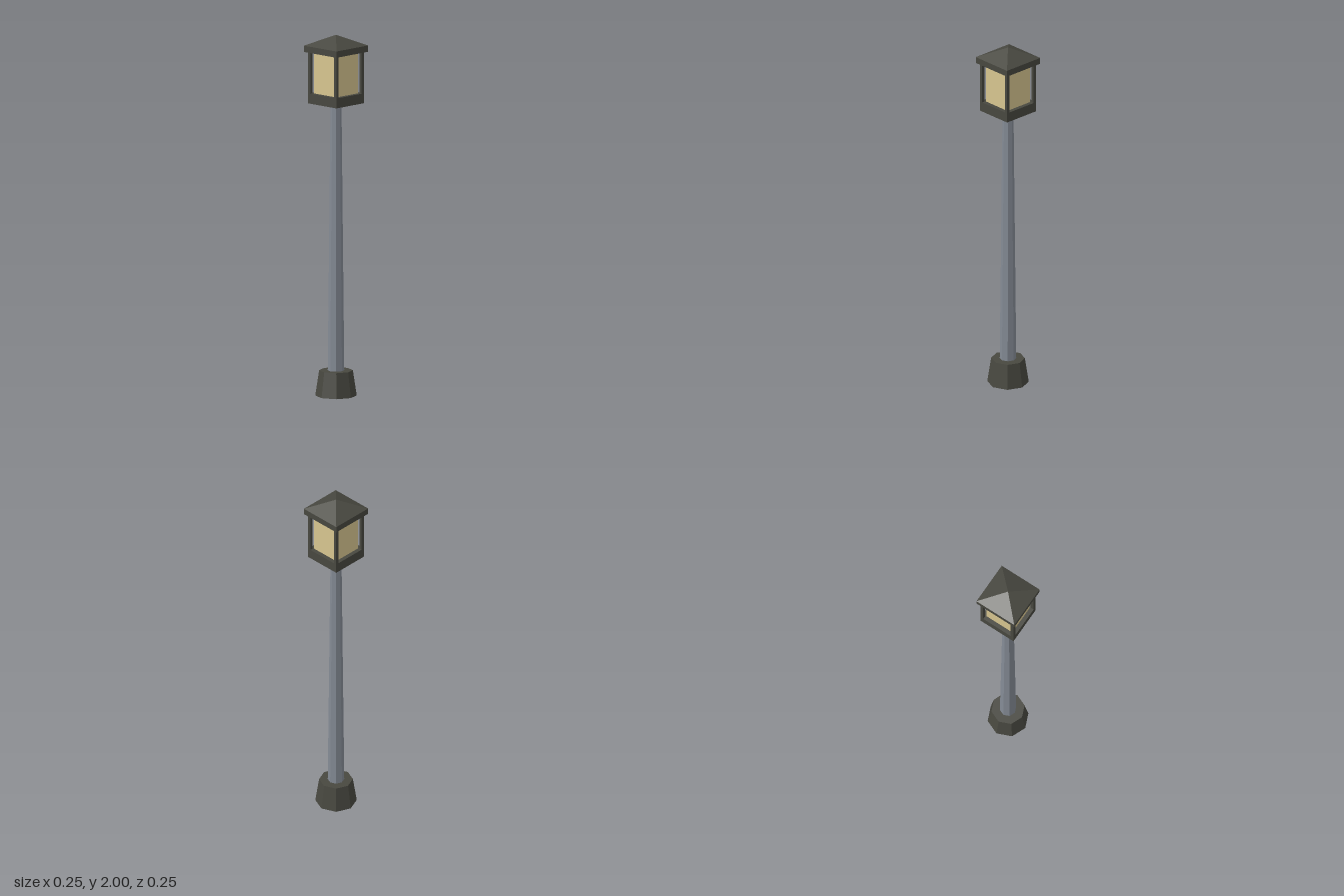
import * as THREE from 'three';

export function createModel() {
  const group = new THREE.Group();
  group.name = 'lampPost';

  const material = (name, color) => {
    const m = new THREE.MeshStandardMaterial({ color, flatShading: true });
    m.name = name;
    return m;
  };
  const iron = material('dark iron', 0x484840);
  const steel = material('grey steel', 0x848b95);
  const glass = material('warm glass', 0xd8c690);

  const add = (name, geometry, mat, x, y, z) => {
    const mesh = new THREE.Mesh(geometry, mat);
    mesh.name = name;
    mesh.position.set(x, y, z);
    group.add(mesh);
    return mesh;
  };
  // Square block between two heights
  const block = (name, half, y0, y1, mat, x = 0, z = 0) =>
    add(name, new THREE.BoxGeometry(half * 2, y1 - y0, half * 2), mat, x, (y0 + y1) / 2, z);
  // Tapered octagonal column between two heights
  const column = (name, rTop, rBottom, y0, y1, mat) =>
    add(name, new THREE.CylinderGeometry(rTop, rBottom, y1 - y0, 8), mat, 0, (y0 + y1) / 2, 0);

  // Foot and pole
  column('base', 0.092, 0.113, 0, 0.14, iron);
  column('pole', 0.03, 0.045, 0.14, 1.62, steel);

  // Lantern: tray, glass and four corner posts
  block('lanternTray', 0.108, 1.62, 1.675, iron);
  block('lanternGlass', 0.085, 1.675, 1.895, glass);
  for (const sx of [-1, 1]) {
    for (const sz of [-1, 1]) {
      block('cornerPost', 0.009, 1.675, 1.905, iron, sx * 0.099, sz * 0.099);
    }
  }

  // Roof: eaves slab with a four-sided pyramid
  block('roofEaves', 0.124, 1.905, 1.94, iron);
  const pyramid = new THREE.ConeGeometry(0.124 * Math.SQRT2, 0.06, 4);
  pyramid.rotateY(Math.PI / 4);
  add('roofPyramid', pyramid, iron, 0, 1.97, 0);

  return group;
}
